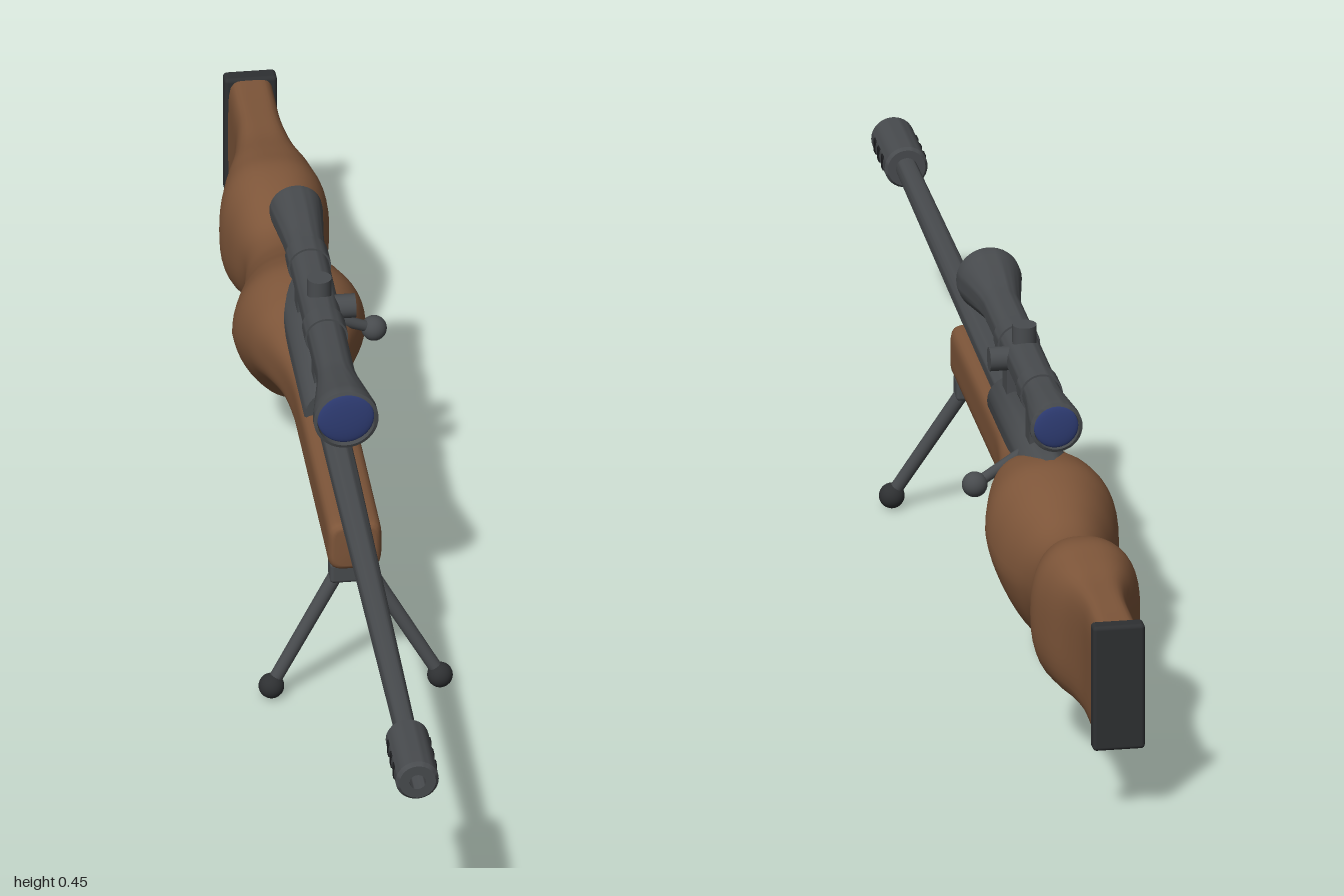
import * as THREE from 'three';
import { RoundedBoxGeometry } from 'three/addons/geometries/RoundedBoxGeometry.js';
import { toCreasedNormals } from 'three/addons/utils/BufferGeometryUtils.js';

const mat = (color, side = THREE.FrontSide) => new THREE.MeshStandardMaterial({ color, side });
const metal = mat(0x484b4e, THREE.DoubleSide);
const wood = mat(0x7d5539);
const rubber = mat(0x2e3032);
const dark = mat(0x1c1d1f);
const glass = mat(0x2f3d75);

const AXIS_Y = 0.29, SCOPE_Y = 0.4;

function add(parent, name, geometry, material, x = 0, y = 0, z = 0) {
  const mesh = new THREE.Mesh(geometry, material);
  mesh.name = name;
  mesh.position.set(x, y, z);
  parent.add(mesh);
  return mesh;
}

// Turned part lying along z; profile is a list of [radius, z]
function turned(profile, segments = 32) {
  const pts = profile.map(([r, z]) => new THREE.Vector2(r, z));
  const g = new THREE.LatheGeometry(pts, segments).rotateX(Math.PI / 2);
  return toCreasedNormals(g, 0.6);
}

// Round bar between two points
function rod(parent, name, a, b, r1, r2, material) {
  const p = new THREE.Vector3(...a), q = new THREE.Vector3(...b);
  const dir = q.clone().sub(p);
  const mesh = add(parent, name, new THREE.CylinderGeometry(r2, r1, dir.length(), 16), material);
  mesh.position.copy(p).add(q).multiplyScalar(0.5);
  mesh.quaternion.setFromUnitVectors(new THREE.Vector3(0, 1, 0), dir.normalize());
}

// Stock lofted through [z, half width, bottom, top, squareness, egg taper]
function stockGeometry() {
  const keys = [
    [0.25, 0.04, 0.207, 0.287, 5, 0], [0.14, 0.04, 0.207, 0.287, 5, 0],
    [0.03, 0.04, 0.207, 0.287, 5, 0], [-0.08, 0.04, 0.207, 0.287, 5, 0],
    [-0.16, 0.041, 0.206, 0.287, 4.5, 0], [-0.23, 0.049, 0.2, 0.288, 3.5, 0],
    [-0.29, 0.066, 0.183, 0.301, 2.7, 0], [-0.34, 0.084, 0.157, 0.317, 2.3, 0.05],
    [-0.4, 0.098, 0.11, 0.326, 2.2, 0.15], [-0.45, 0.092, 0.073, 0.315, 2.2, 0.28],
    [-0.5, 0.077, 0.078, 0.295, 2.2, 0.25], [-0.55, 0.063, 0.113, 0.28, 2.2, 0.1],
    [-0.6, 0.057, 0.137, 0.281, 2.3, 0], [-0.65, 0.071, 0.109, 0.308, 2.4, 0],
    [-0.7, 0.081, 0.095, 0.321, 2.5, 0], [-0.75, 0.07, 0.1, 0.315, 2.9, 0],
    [-0.81, 0.048, 0.108, 0.305, 3.8, 0], [-0.87, 0.036, 0.111, 0.302, 5, 0],
    [-0.93, 0.034, 0.111, 0.3, 6, 0], [-0.98, 0.034, 0.111, 0.3, 6, 0],
  ];
  const size = new THREE.CatmullRomCurve3(keys.map(k => new THREE.Vector3(k[1], k[2], k[3])), false, 'catmullrom');
  const form = new THREE.CatmullRomCurve3(keys.map(k => new THREE.Vector3(k[0], k[4], k[5])), false, 'catmullrom');
  const rows = 100, cols = 48, pos = [], idx = [];
  const ring = (t, scale, dz) => {
    const s = size.getPoint(t), f = form.getPoint(t);
    const cy = (s.y + s.z) / 2, h = (s.z - s.y) / 2;
    for (let j = 0; j < cols; j++) {
      const a = (j / cols) * Math.PI * 2, c = Math.cos(a), d = Math.sin(a);
      const k = (Math.abs(c) ** f.y + Math.abs(d) ** f.y) ** (-1 / f.y) * scale;
      const egg = 1 - f.z * Math.max(0, -d * k);
      pos.push(c * k * s.x * egg, cy + d * k * h, f.x + dz);
    }
  };
  // Rounded front cap, then the body
  [[0, 0.015], [0.75, 0.015], [0.86, 0.0135], [0.95, 0.009]].forEach(([s, dz]) => ring(0, s, dz));
  for (let i = 0; i <= rows; i++) ring(i / rows, 1, 0);
  for (let i = 0; i < rows + 4; i++) {
    for (let j = 0; j < cols; j++) {
      const a = i * cols + j, b = i * cols + (j + 1) % cols;
      idx.push(a, a + cols, b, b, a + cols, b + cols);
    }
  }
  const g = new THREE.BufferGeometry();
  g.setAttribute('position', new THREE.Float32BufferAttribute(pos, 3));
  g.setIndex(idx);
  g.computeVertexNormals();
  return g;
}

export function createModel() {
  const model = new THREE.Group();
  model.name = 'scopedRifle';

  // Stock and butt pad
  add(model, 'stock', stockGeometry(), wood);
  add(model, 'buttPad', new RoundedBoxGeometry(0.078, 0.197, 0.027, 3, 0.006), rubber, 0, 0.2045, -0.9865);

  // Barrel and muzzle brake with a hollow bore
  add(model, 'barrel', turned([[0, -0.1], [0.022, -0.1], [0.021, 0.15], [0.016, 0.88], [0, 0.88]]), metal, 0, AXIS_Y);
  add(model, 'muzzleBrake', turned([
    [0, 0.87], [0.028, 0.87], [0.032, 0.875], [0.032, 0.994], [0.027, 1], [0.012, 1], [0.012, 0.95], [0, 0.95],
  ]), metal, 0, AXIS_Y);
  for (const side of [-1, 1]) {
    for (const z of [0.9, 0.932, 0.964]) {
      add(model, 'brakePort', new RoundedBoxGeometry(0.006, 0.022, 0.016, 2, 0.002), dark, side * 0.0295, AXIS_Y, z);
    }
  }

  // Receiver and its tang
  add(model, 'receiver', turned([
    [0, -0.415], [0.024, -0.415], [0.036, -0.39], [0.037, -0.27], [0.037, -0.055], [0.034, -0.05], [0, -0.05],
  ]), metal, 0, AXIS_Y);

  // Bolt handle
  rod(model, 'boltHandle', [0.02, 0.305, -0.295], [0.1, 0.265, -0.317], 0.009, 0.008, metal);
  add(model, 'boltKnob', new THREE.SphereGeometry(0.019, 24, 16), metal, 0.1, 0.265, -0.317);

  // Magazine
  add(model, 'magazine', new RoundedBoxGeometry(0.05, 0.1, 0.108, 3, 0.009), metal, 0, 0.195, -0.248);

  // Scope
  const scope = new THREE.Group();
  scope.name = 'scope';
  scope.position.y = SCOPE_Y;
  model.add(scope);
  add(scope, 'scopeTube', turned([
    [0, -0.442], [0.033, -0.442], [0.034, -0.45], [0.039, -0.447], [0.039, -0.435], [0.031, -0.36], [0.029, -0.33],
    [0.029, 0.03], [0.032, 0.055], [0.046, 0.13], [0.048, 0.14], [0.048, 0.153], [0.043, 0.155], [0.042, 0.145], [0, 0.145],
  ], 40), metal);
  const lens = (r, depth) => new THREE.SphereGeometry(1, 32, 8, 0, Math.PI * 2, 0, Math.PI / 2)
    .rotateX(Math.PI / 2).scale(r, r, depth);
  add(scope, 'frontLens', lens(0.0425, 0.007), glass, 0, 0, 0.146);
  add(scope, 'rearLens', lens(0.0335, 0.006), glass, 0, 0, -0.443).rotation.y = Math.PI;

  // Adjustment turrets on top and on the side
  const turret = new THREE.CylinderGeometry(0.018, 0.018, 0.052, 24);
  add(scope, 'topTurret', turret, metal, 0, 0.026, -0.165);
  add(scope, 'sideTurret', turret, metal, 0.027, 0, -0.165).rotation.z = Math.PI / 2;

  // Scope mounts: ring and post
  for (const z of [-0.098, -0.298]) {
    add(model, 'scopePost', new THREE.BoxGeometry(0.036, 0.07, 0.036), metal, 0, 0.347, z);
    add(model, 'scopeRing', turned([[0.028, -0.018], [0.032, -0.018], [0.032, 0.018], [0.028, 0.018]]), metal, 0, SCOPE_Y, z);
  }

  // Bipod
  add(model, 'bipodMount', new RoundedBoxGeometry(0.072, 0.034, 0.034, 3, 0.006), metal, 0, 0.196, 0.236);
  for (const s of [-1, 1]) {
    rod(model, 'bipodLeg', [s * 0.024, 0.188, 0.235], [s * 0.125, 0.02, 0.265], 0.011, 0.01, metal);
    add(model, 'bipodFoot', new THREE.SphereGeometry(0.019, 24, 16), rubber, s * 0.125, 0.019, 0.265);
  }

  return model;
}
